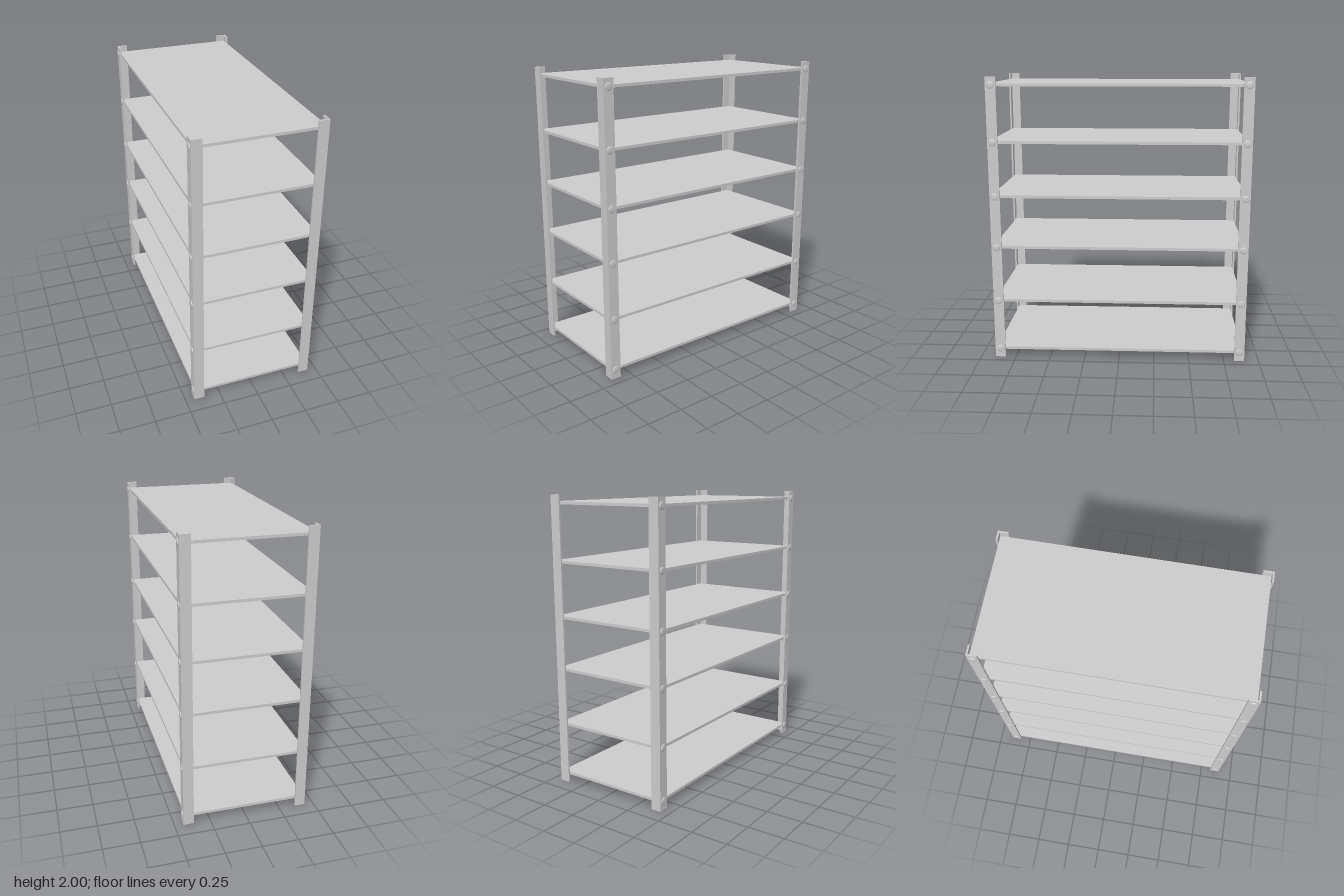
import * as THREE from 'three';

const HALF_X = 0.438, HALF_Z = 0.897, HEIGHT = 2;
const FLANGE = 0.072, WALL = 0.012;
const SHELF_THICKNESS = 0.019;
const SHELF_HEIGHTS = [0.064, 0.427, 0.82, 1.183, 1.56, 1.947];

export function createModel() {
  const model = new THREE.Group();
  model.name = 'shelvingUnit';
  const material = new THREE.MeshStandardMaterial({ color: 0xcccccc });

  function add(parent, name, geometry, x = 0, y = 0, z = 0) {
    const mesh = new THREE.Mesh(geometry, material);
    mesh.name = name;
    mesh.position.set(x, y, z);
    parent.add(mesh);
    return mesh;
  }

  // Angle-iron section, outer corner at the origin, flanges along +x and +y
  const section = new THREE.Shape([
    [0, 0], [FLANGE, 0], [FLANGE, WALL], [WALL, WALL], [WALL, FLANGE], [0, FLANGE],
  ].map(([x, y]) => new THREE.Vector2(x, y)));
  const postGeometry = new THREE.ExtrudeGeometry(section, { depth: HEIGHT, bevelEnabled: false });
  postGeometry.rotateX(-Math.PI / 2);

  // Low domed bolt head pointing along +x
  const boltGeometry = new THREE.LatheGeometry([
    [0.025, -0.002], [0.025, 0.003], [0.022, 0.005], [0.014, 0.0065], [0, 0.007],
  ].map(([r, h]) => new THREE.Vector2(r, h)), 24);
  boltGeometry.rotateZ(-Math.PI / 2);

  // Corner posts, each turned so its flanges point inward
  const corners = [
    { name: 'frontRightPost', x: -1, z: 1, turn: 0 },
    { name: 'frontLeftPost', x: 1, z: 1, turn: Math.PI / 2 },
    { name: 'backLeftPost', x: 1, z: -1, turn: Math.PI },
    { name: 'backRightPost', x: -1, z: -1, turn: -Math.PI / 2 },
  ];
  for (const { name, x, z, turn } of corners) {
    const corner = new THREE.Group();
    corner.name = name;
    model.add(corner);
    add(corner, 'angleIron', postGeometry, x * HALF_X, 0, z * HALF_Z).rotation.y = turn;

    // One bolt per shelf on the outer side flange
    for (const y of SHELF_HEIGHTS) {
      const bolt = add(corner, 'bolt', boltGeometry, x * HALF_X, y, z * 0.862);
      bolt.rotation.y = x > 0 ? 0 : Math.PI;
    }
  }

  // Shelves fitted between the posts
  const shelfGeometry = new THREE.BoxGeometry(
    2 * (HALF_X - WALL), SHELF_THICKNESS, 2 * (HALF_Z - WALL));
  SHELF_HEIGHTS.forEach((y, i) => add(model, `shelf${i + 1}`, shelfGeometry, 0, y, 0));

  return model;
}
